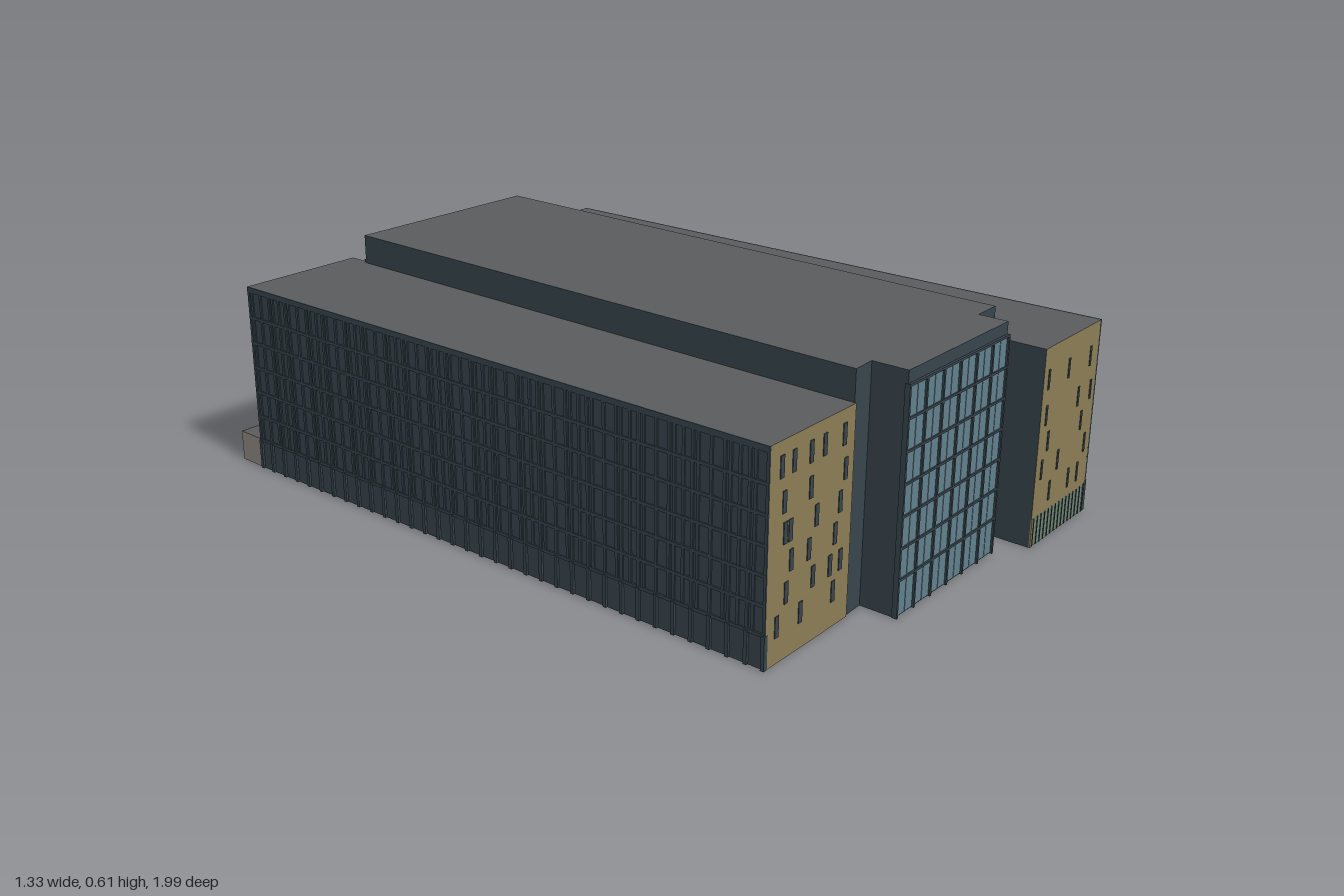
import * as THREE from 'three';
import { mergeGeometries } from 'three/addons/utils/BufferGeometryUtils.js';

const mat = (name, color) => {
  const m = new THREE.MeshStandardMaterial({ color, side: THREE.DoubleSide });
  m.name = name;
  return m;
};
const navy = mat('navy cladding', 0x37444c);
const tan = mat('tan panels', 0x8a7c56);
const glass = mat('blue glass', 0x60808d);
const greenGlass = mat('green glass', 0x6d8372);
const roofGrey = mat('roof grey', 0x595b5d);
const stone = mat('pale stone', 0x8e8a84);

// Merge boxes given as [centre x, centre y, centre z, width, height, depth]
function boxes(parent, name, material, list) {
  const geos = list.map(([x, y, z, w, h, d]) => new THREE.BoxGeometry(w, h, d).translate(x, y, z));
  const mesh = new THREE.Mesh(mergeGeometries(geos), material);
  mesh.name = name;
  parent.add(mesh);
}

// Wall from a to b; its group has x along the wall and z outward
function wall(parent, name, material, a, b, y0, y1) {
  const dx = b[0] - a[0], dz = b[1] - a[1], len = Math.hypot(dx, dz);
  const g = new THREE.Group();
  g.name = name;
  g.position.set(a[0], 0, a[1]);
  g.rotation.y = Math.atan2(-dz, dx);
  const face = new THREE.Mesh(new THREE.PlaneGeometry(len, y1 - y0), material);
  face.name = name + 'Face';
  face.position.set(len / 2, (y0 + y1) / 2, 0);
  g.add(face);
  g.userData.len = len;
  parent.add(g);
  return g;
}

// Horizontal plate over a footprint of [x, z] points
function plate(parent, name, material, points, y) {
  const shape = new THREE.Shape(points.map(([x, z]) => new THREE.Vector2(x, -z)));
  const mesh = new THREE.Mesh(new THREE.ShapeGeometry(shape).rotateX(-Math.PI / 2), material);
  mesh.name = name;
  mesh.position.y = y;
  parent.add(mesh);
}

// Narrow staggered windows: rows of [height, ...fractions along the wall]
function slots(w, rows, width) {
  const list = [];
  for (const [y, ...us] of rows)
    for (const u of us) list.push([u * w.userData.len, y, 0, width, 0.053, 0.004]);
  boxes(w, 'slotWindows', navy, list);
}
const slotsA = [
  [0.47, 0.13, 0.27, 0.47, 0.63, 0.87], [0.385, 0.17, 0.48, 0.9], [0.31, 0.19, 0.25, 0.56, 0.85],
  [0.237, 0.27, 0.48, 0.8], [0.163, 0.22, 0.54, 0.75, 0.88], [0.092, 0.12, 0.4, 0.8],
];
const slotsB = [
  [0.445, 0.09, 0.45, 0.85], [0.35, 0.1, 0.68, 0.91], [0.276, 0.17, 0.78],
  [0.205, 0.1, 0.39, 0.89], [0.131, 0.28, 0.63, 0.8],
];

// Relief of piers, ledges and staggered fins on the long sides
function relief(w) {
  const { len } = w.userData, n = 34, step = len / n, rows = 6, low = 0.085, rise = 0.43 / rows;
  const list = [[len / 2, 0.5225, 0, len, 0.015, 0.008]];
  for (let r = 0; r < rows; r++) {
    const y = low + r * rise;
    list.push([len / 2, y, 0, len, 0.008, 0.008]);
    for (let i = 0; i < n; i++) {
      const u = (i + 0.3 + 0.2 * ((i * 2 + r * 3) % 3)) * step;
      list.push([u, y + rise / 2, 0, 0.008, rise, 0.006]);
    }
  }
  for (let i = 0; i <= n; i++) {
    const u = Math.min(Math.max(i * step, 0.004), len - 0.004);
    list.push([u, 0.3, 0, 0.008, 0.43, 0.007]);
    list.push([u, 0.0425, 0, 0.01, 0.085, 0.012]);
  }
  boxes(w, 'sideRelief', navy, list);
}

function createModel() {
  const model = new THREE.Group();
  model.name = 'building';
  const WING = 0.53, HALL = 0.61;

  // Right wing (west side, -x)
  const rw = [[-0.561, 0.889], [-0.242, 0.872], [-0.292, -0.857], [-0.657, -0.841]];
  const rightWing = new THREE.Group();
  rightWing.name = 'rightWing';
  model.add(rightWing);
  slots(wall(rightWing, 'frontWall', tan, rw[0], rw[1], 0, WING), slotsA, 0.014);
  wall(rightWing, 'innerWall', navy, rw[1], rw[2], 0, WING);
  slots(wall(rightWing, 'backWall', tan, rw[2], rw[3], 0, WING), slotsA.slice(0, 5), 0.012);
  relief(wall(rightWing, 'outerWall', navy, rw[3], rw[0], 0, WING));
  plate(rightWing, 'roof', roofGrey, rw, WING);

  // Left wing (+x), raised at the front over a green glass strip
  const lw = [[0.36, 0.995], [0.656, 0.979], [0.558, -0.767], [0.304, -0.757]];
  const leftWing = new THREE.Group();
  leftWing.name = 'leftWing';
  model.add(leftWing);
  slots(wall(leftWing, 'frontWall', tan, lw[0], lw[1], 0.078, WING), slotsB, 0.008);
  const shop = wall(leftWing, 'groundGlazing', greenGlass, lw[0], lw[1], 0, 0.078);
  const bars = [];
  for (let i = 0; i <= 14; i++) bars.push([0.012 + i * 0.0195, 0.039, 0, 0.002, 0.078, 0.004]);
  boxes(shop, 'glazingBars', navy, bars);
  boxes(shop, 'cornerPost', tan, [[0.004, 0.039, 0, 0.008, 0.078, 0.004]]);
  relief(wall(leftWing, 'outerWall', navy, lw[1], lw[2], 0, WING));
  slots(wall(leftWing, 'backWall', tan, lw[2], lw[3], 0, WING), slotsB, 0.01);
  wall(leftWing, 'innerWall', navy, lw[3], lw[0], 0, WING);
  plate(leftWing, 'roof', roofGrey, lw, WING);

  // Taller central hall with a projecting glazed bay
  const hallPts = [[-0.243, 0.868], [-0.177, 0.862], [-0.172, 0.958], [0.27, 0.937],
    [0.267, 0.857], [0.351, 0.852], [0.304, -0.81], [-0.299, -0.788]];
  const hall = new THREE.Group();
  hall.name = 'centralHall';
  model.add(hall);
  const walls = hallPts.map((p, i) =>
    wall(hall, 'hallWall' + (i + 1), navy, p, hallPts[(i + 1) % hallPts.length], 0, HALL));
  plate(hall, 'roof', roofGrey, hallPts, HALL);
  plate(hall, 'floor', navy, hallPts, 0.002);

  // Curtain wall: six bays of paired panes on seven floors
  const bay = walls[2], cols = 6, cw = bay.userData.len / cols, panes = [], mullions = [];
  for (let r = 0; r < 7; r++) {
    const y0 = r === 0 ? 0.004 : 0.02 + r * 0.0797, y1 = 0.095 + r * 0.0797;
    for (let c = 0; c < cols; c++)
      for (const s of [0.28, 0.72])
        panes.push([(c + s) * cw, (y0 + y1) / 2, 0.001, cw * 0.41, y1 - y0, 0.004]);
    mullions.push([bay.userData.len / 2, y1 + 0.0023, 0, bay.userData.len, 0.006, 0.014]);
  }
  for (let c = 0; c <= cols; c++) mullions.push([c * cw, 0.289, 0, 0.006, 0.578, 0.014]);
  boxes(bay, 'glassPanes', glass, panes);
  boxes(bay, 'mullions', navy, mullions);

  // Ledges and uprights on the rear wall
  const rear = walls[6], rl = rear.userData.len, grid = [];
  for (let r = 1; r <= 7; r++) grid.push([rl / 2, 0.085 + (r - 1) * 0.075, 0, rl, 0.008, 0.012]);
  for (let c = 1; c < 12; c++) grid.push([(c * rl) / 12, 0.3, 0, 0.006, 0.44, 0.006]);
  boxes(rear, 'rearGrid', navy, grid);

  // Hollow terrace along the back
  const terracePts = [[-0.657, -0.841], [0.558, -0.767], [0.552, -0.995], [-0.659, -0.931]];
  const terrace = new THREE.Group();
  terrace.name = 'terrace';
  model.add(terrace);
  const edge = [[0.564, -0.767], [0.552, -0.995], [-0.66, -0.931], [-0.657, -0.841]];
  for (let i = 0; i < 3; i++) wall(terrace, 'terraceWall' + (i + 1), stone, edge[i], edge[i + 1], 0, 0.085);
  plate(terrace, 'terraceTop', roofGrey, terracePts, 0.084);

  return model;
}

export { createModel };
